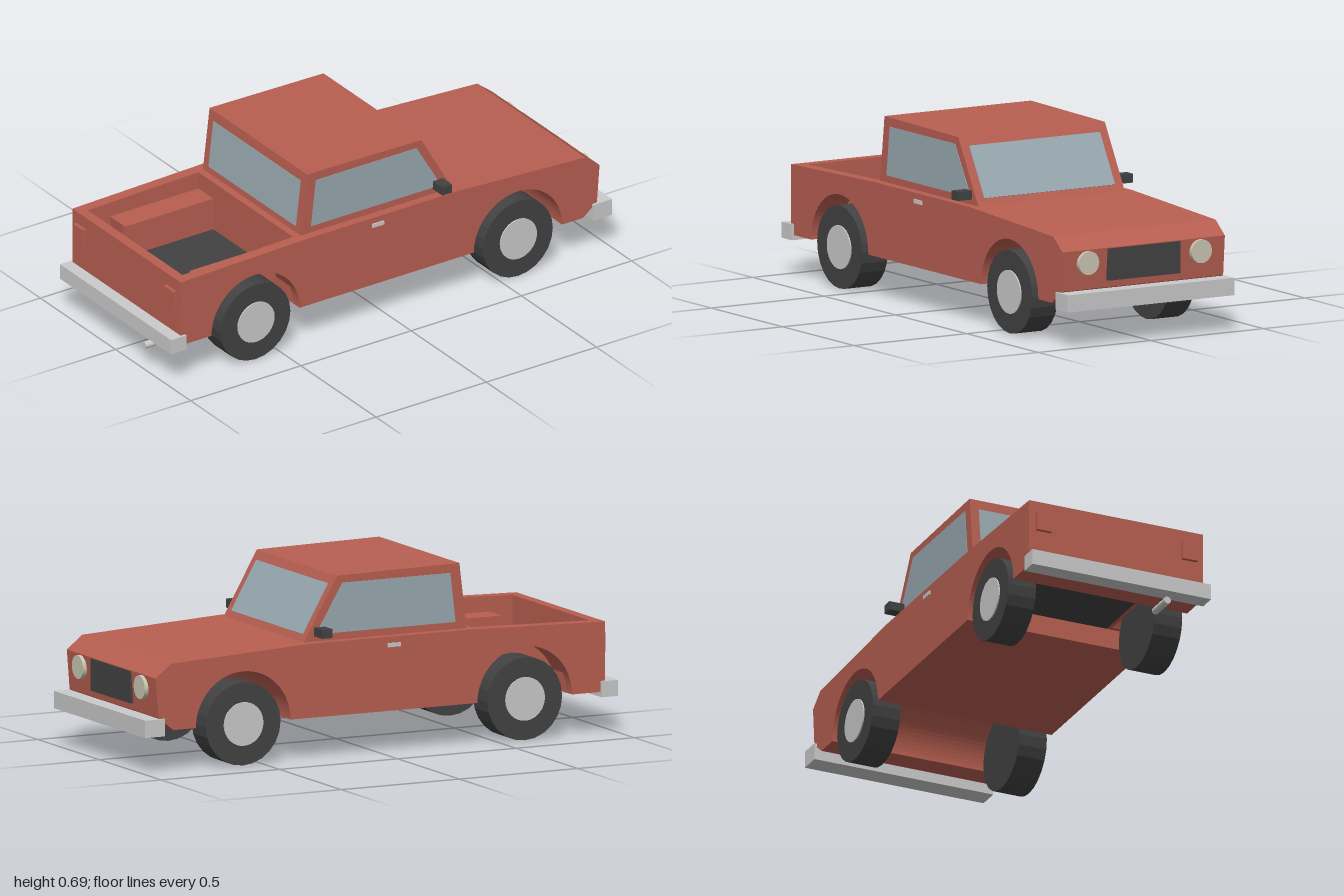
import * as THREE from 'three';

const mat = (name, color, flatShading = false) => {
  const m = new THREE.MeshStandardMaterial({ color });
  m.name = name;
  m.flatShading = flatShading;
  return m;
};

export function createModel() {
  const truck = new THREE.Group();
  truck.name = 'pickupTruck';
  const paint = mat('red paint', 0xb85f51);
  const glass = mat('window glass', 0x98a9b0);
  const chrome = mat('light metal', 0xcacaca);
  const dark = mat('dark trim', 0x424242);
  const rubber = mat('tyre rubber', 0x424242, true);
  const lamp = mat('headlight lens', 0xcac7b2);

  const add = (name, geo, material, x = 0, y = 0, z = 0) => {
    const m = new THREE.Mesh(geo, material);
    m.name = name;
    m.position.set(x, y, z);
    truck.add(m);
    return m;
  };
  // Box given by its limits on each axis
  const box = (name, material, x0, x1, y0, y1, z0, z1) =>
    add(name, new THREE.BoxGeometry(x1 - x0, y1 - y0, z1 - z0), material,
      (x0 + x1) / 2, (y0 + y1) / 2, (z0 + z1) / 2);
  // Side outline extruded between two z values
  const slab = (name, material, shape, z0, z1) =>
    add(name, new THREE.ExtrudeGeometry(shape, { depth: z1 - z0, bevelEnabled: false, curveSegments: 20 }),
      material, 0, 0, z0);
  const outline = pts => new THREE.Shape(pts.map(p => new THREE.Vector2(...p)));

  const axleY = 0.158, rearX = -0.61, frontX = 0.58, archR = 0.2, base = 0.158;
  const halfW = 0.36, bedW = 0.315, boxW = 0.215, floorY = 0.235;

  // Lower body: hood, doors and nose, with the front wheel arch cut through
  const body = new THREE.Shape();
  body.moveTo(-0.41, base);
  body.lineTo(frontX - archR, base);
  body.absarc(frontX, axleY, archR, Math.PI, 0, true);
  body.lineTo(0.875, base);
  body.lineTo(0.938, 0.208);
  body.lineTo(0.95, 0.36);
  body.lineTo(0.885, 0.411);
  body.lineTo(0.3, 0.44);
  body.lineTo(-0.38, 0.44);
  body.lineTo(-0.41, 0.439);
  slab('lowerBody', paint, body, -halfW, halfW);

  // Cargo bed: side walls, wheel housings, tailgate and floor
  const side = new THREE.Shape();
  side.moveTo(-0.95, base);
  side.lineTo(rearX - archR, base);
  side.absarc(rearX, axleY, archR, Math.PI, 0, true);
  side.lineTo(-0.41, 0.439);
  side.lineTo(-0.95, 0.425);

  const a = Math.asin((floorY - axleY) / archR);
  const housing = new THREE.Shape();
  housing.moveTo(-0.81, floorY);
  housing.absarc(rearX, axleY, archR, Math.PI - a, a, true);
  housing.lineTo(-0.41, floorY);
  housing.lineTo(-0.41, 0.37);
  housing.lineTo(-0.81, 0.37);

  for (const s of [-1, 1]) {
    const span = (u, v) => (s > 0 ? [u, v] : [-v, -u]);
    slab('bedSide', paint, side, ...span(bedW, halfW));
    slab('wheelHousing', paint, housing, ...span(boxW + 0.015, bedW));
    box('wheelHousingInnerWall', paint, -0.81, -0.41, floorY, 0.37, ...span(boxW, boxW + 0.015));
  }
  box('tailgate', paint, -0.95, -0.91, floorY, 0.425, -bedW, bedW);
  box('rearSill', paint, -0.95, -0.81, base, floorY, -bedW, bedW);
  box('bedFloor', dark, -0.81, -0.41, floorY, floorY + 0.006, -boxW, boxW);
  box('bedFloorRear', dark, -0.91, -0.81, floorY, floorY + 0.006, -bedW, bedW);

  // Cab
  const cabW = 0.325;
  const rearFoot = [-0.382, 0.44], rearTop = [-0.352, 0.69];
  const frontTop = [0.165, 0.683], frontFoot = [0.305, 0.44];
  slab('cab', paint, outline([rearFoot, frontFoot, frontTop, rearTop]), -cabW, cabW);

  // Side windows
  const sideGlass = outline([[-0.335, 0.467], [0.255, 0.467], [0.143, 0.655], [-0.313, 0.655]]);
  slab('sideWindowLeft', glass, sideGlass, cabW - 0.002, cabW + 0.002);
  slab('sideWindowRight', glass, sideGlass, -cabW - 0.002, -cabW + 0.002);

  // Windshield and rear window lie along the sloping cab ends
  const pane = (name, foot, top) => {
    const at = y => foot[0] + (top[0] - foot[0]) * (y - foot[1]) / (top[1] - foot[1]);
    const y0 = 0.465, y1 = 0.65, dx = at(y1) - at(y0);
    const m = add(name, new THREE.BoxGeometry(0.005, Math.hypot(dx, y1 - y0), 0.58), glass,
      (at(y0) + at(y1)) / 2, (y0 + y1) / 2, 0);
    m.rotation.z = -Math.atan2(dx, y1 - y0);
  };
  pane('windshield', frontFoot, frontTop);
  pane('rearWindow', rearFoot, rearTop);

  // Wheels
  for (const x of [rearX, frontX]) {
    for (const s of [-1, 1]) {
      const tyre = add('tyre', new THREE.CylinderGeometry(axleY, axleY, 0.114, 24), rubber, x, axleY, s * 0.303);
      tyre.rotation.x = Math.PI / 2;
      const hub = add('hubcap', new THREE.CylinderGeometry(0.083, 0.083, 0.02, 32), chrome, x, axleY, s * 0.355);
      hub.rotation.x = Math.PI / 2;
    }
  }

  // Bumpers, grille and exhaust
  box('frontBumper', chrome, 0.915, 1, 0.139, 0.205, -0.37, 0.37);
  box('rearBumper', chrome, -1, -0.93, 0.139, 0.2, -0.37, 0.37);
  box('grille', dark, 0.935, 0.954, 0.235, 0.357, -0.16, 0.16);
  const pipe = add('exhaustPipe', new THREE.CylinderGeometry(0.014, 0.014, 0.11, 16), chrome, -0.945, 0.1, 0.19);
  pipe.rotation.z = Math.PI / 2;

  // Mirrored small parts
  for (const s of [-1, 1]) {
    const light = add('headlight', new THREE.CylinderGeometry(0.045, 0.045, 0.025, 32), lamp, 0.95, 0.311, s * 0.25);
    light.rotation.z = Math.PI / 2;
    const span = (u, v) => (s > 0 ? [u, v] : [-v, -u]);
    box('tailLight', paint, -0.965, -0.945, 0.305, 0.377, ...span(0.27, 0.333));
    box('doorHandle', chrome, -0.083, -0.03, 0.401, 0.416, ...span(0.355, 0.366));
    box('sideMirror', dark, 0.217, 0.262, 0.46, 0.494, ...span(0.32, 0.389));
  }
  return truck;
}
